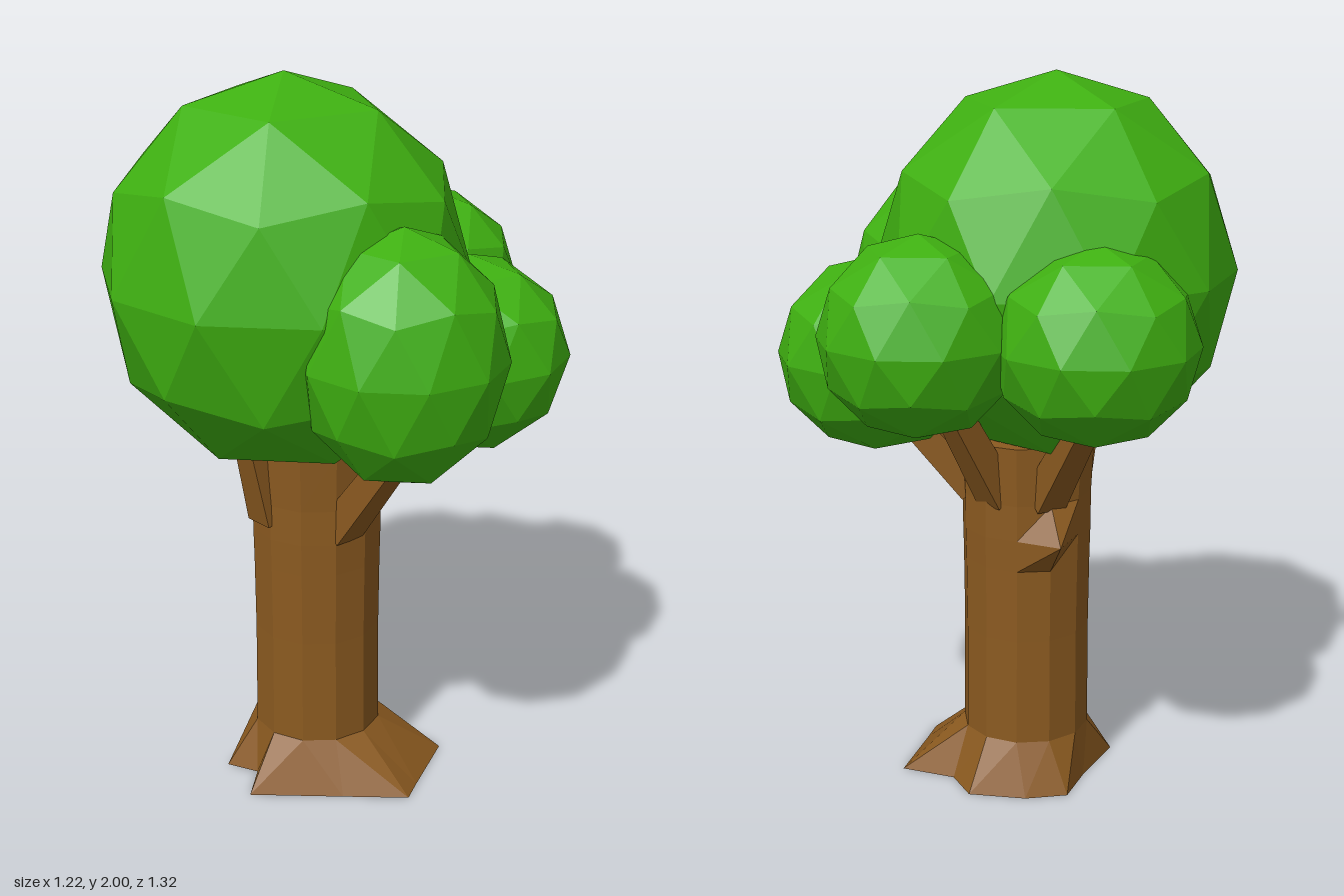
import * as THREE from 'three';

const bark = new THREE.MeshStandardMaterial({ color: 0x8b5a20, flatShading: true });
const leaf = new THREE.MeshStandardMaterial({ color: 0x3fb011, flatShading: true });

// Closed solid from stacked rings of equal length, with flat caps
function loft(rings) {
  const n = rings[0].length, pos = [];
  const tri = (...pts) => pts.forEach((p) => pos.push(p.x, p.y, p.z));
  const centre = (ring) => ring.reduce((s, p) => s.add(p), new THREE.Vector3()).divideScalar(n);
  const bottom = rings[0], top = rings[rings.length - 1];
  const c0 = centre(bottom), c1 = centre(top);
  for (let i = 0; i < n; i++) {
    const j = (i + 1) % n;
    for (let k = 0; k < rings.length - 1; k++) {
      const a = rings[k], b = rings[k + 1];
      tri(a[i], b[i], a[j]);
      tri(a[j], b[i], b[j]);
    }
    tri(c0, bottom[i], bottom[j]);
    tri(c1, top[j], top[i]);
  }
  const g = new THREE.BufferGeometry();
  g.setAttribute('position', new THREE.Float32BufferAttribute(pos, 3));
  g.computeVertexNormals();
  return g;
}

// Trunk: spiky root flare, then a 12-sided shaft with a knot at the back
function trunkGeometry() {
  const roots = [
    [0.19, -0.02], [0.14, 0.08], [0.19, 0.23], [-0.01, 0.31], [-0.08, 0.34], [-0.2, 0.2],
    [-0.37, 0], [-0.27, -0.07], [-0.3, -0.16], [-0.11, -0.2], [0.02, -0.24], [0.11, -0.16],
  ];
  const rings = [roots.map(([x, z]) => new THREE.Vector3(x, 0, z))];
  const levels = [[0.145, 0.18], [0.45, 0.178], [0.66, 0.18], [0.75, 0.182], [0.85, 0.182], [1.015, 0.19]];
  for (const [y, r] of levels) {
    rings.push(roots.map((_, i) => {
      const a = (i / roots.length) * Math.PI * 2;
      const knot = y === 0.75 && i === 10 ? 1.38 : 1;
      return new THREE.Vector3(-0.075 + r * knot * Math.cos(a), y, -0.015 + r * knot * Math.sin(a));
    }));
  }
  return loft(rings);
}

// Tapered four-sided branch between two points
function branch(from, to, name) {
  const a = new THREE.Vector3(...from), b = new THREE.Vector3(...to);
  const dir = b.clone().sub(a);
  const g = new THREE.CylinderGeometry(0.046, 0.062, dir.length(), 4).rotateY(Math.PI / 4);
  const m = new THREE.Mesh(g, bark);
  m.position.copy(a).add(b).multiplyScalar(0.5);
  // Turn about the vertical first so a flat side faces outwards
  const yaw = Math.atan2(dir.x, dir.z);
  const tilt = Math.acos(dir.y / dir.length());
  m.rotation.set(tilt, yaw, 0, 'YXZ');
  m.name = name;
  return m;
}

// Faceted leaf ball with a vertex at its top
function leafBall(centre, r, ry, name) {
  const g = new THREE.IcosahedronGeometry(1, 1);
  g.rotateZ(-Math.atan(2 / (1 + Math.sqrt(5))));
  g.scale(r, ry, r);
  g.computeVertexNormals();
  const m = new THREE.Mesh(g, leaf);
  m.position.set(...centre);
  m.name = name;
  return m;
}

export function createModel() {
  const tree = new THREE.Group();
  tree.name = 'tree';

  const trunk = new THREE.Mesh(trunkGeometry(), bark);
  trunk.name = 'trunk';
  tree.add(trunk);

  const branches = new THREE.Group();
  branches.name = 'branches';
  branches.add(
    branch([-0.12, 0.78, 0.12], [-0.16, 1.14, 0.4], 'frontBranch'),
    branch([-0.22, 0.8, -0.05], [-0.31, 1.16, -0.06], 'rightBranch'),
    branch([0.03, 0.86, 0.09], [0.17, 1.1, 0.25], 'frontLeftBranch'),
    branch([0.06, 0.86, -0.02], [0.27, 1.2, 0], 'leftBranch'),
    branch([0, 0.86, -0.14], [0.09, 1.18, -0.36], 'backBranch'),
  );
  tree.add(branches);

  const foliage = new THREE.Group();
  foliage.name = 'foliage';
  foliage.add(
    leafBall([-0.14, 1.47, -0.06], 0.495, 0.53, 'crown'),
    leafBall([-0.19, 1.35, 0.388], 0.27, 0.335, 'frontLeafBall'),
    leafBall([0.2, 1.245, 0.28], 0.28, 0.27, 'frontLeftLeafBall'),
    leafBall([0.35, 1.358, 0], 0.268, 0.267, 'leftLeafBall'),
    leafBall([0.12, 1.352, -0.39], 0.27, 0.265, 'backLeafBall'),
  );
  tree.add(foliage);
  return tree;
}
